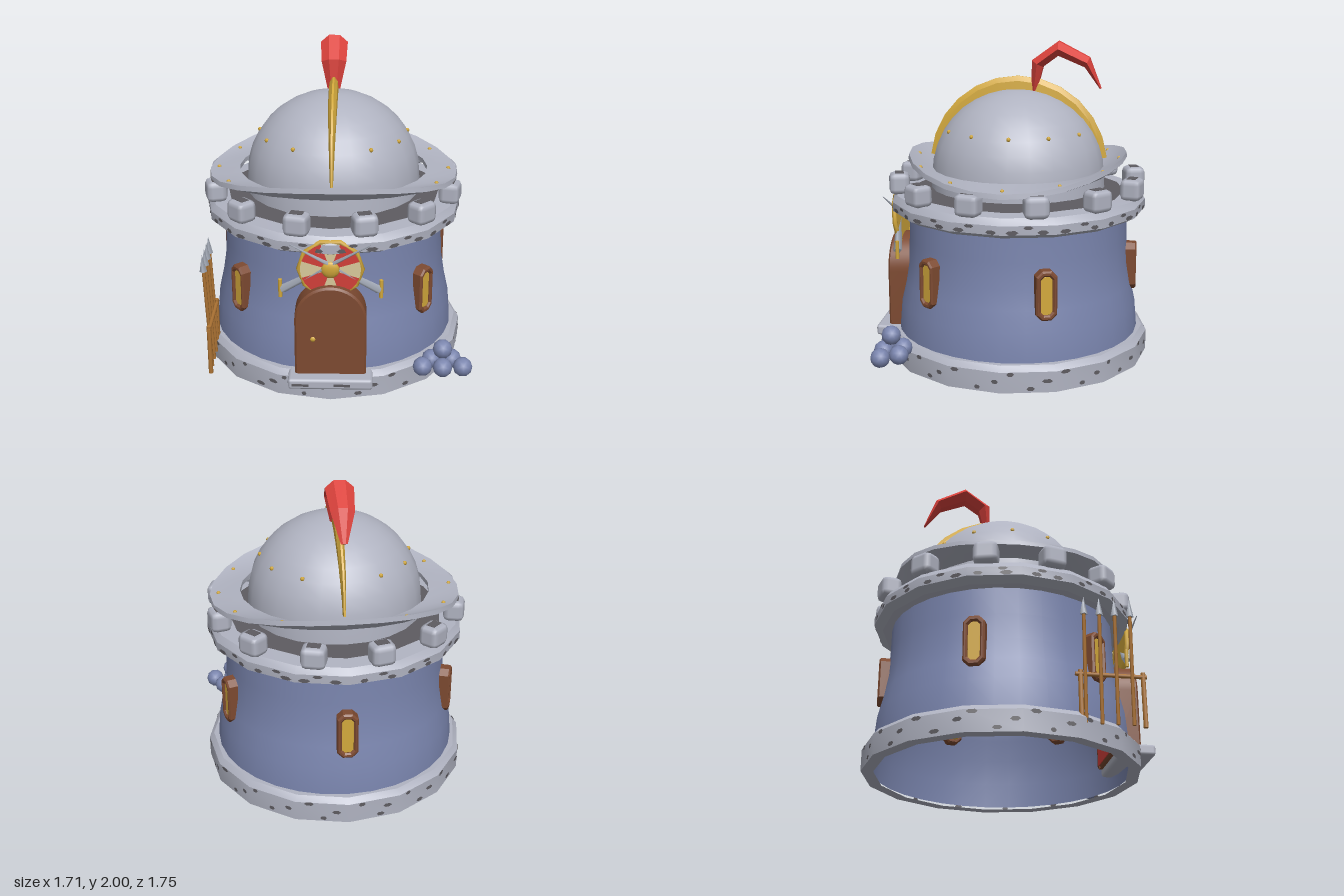
import * as THREE from 'three';
import { toCreasedNormals } from 'three/addons/utils/BufferGeometryUtils.js';
import { RoundedBoxGeometry } from 'three/addons/geometries/RoundedBoxGeometry.js';

const material = (name, color, side = THREE.FrontSide) => {
  const m = new THREE.MeshStandardMaterial({ color, side });
  m.name = name;
  return m;
};

// Skin through a list of equal-length point loops; either closed into a ring or capped
function loft(sections, closed, crease) {
  const n = sections.length, m = sections[0].length, idx = [];
  const pts = sections.flat();
  for (let i = 0; i < (closed ? n : n - 1); i++) for (let j = 0; j < m; j++) {
    const a = i * m + j, b = i * m + (j + 1) % m, k = ((i + 1) % n) * m;
    const c = k + (j + 1) % m, d = k + j;
    idx.push(a, b, c, a, c, d);
  }
  if (!closed) for (let j = 1; j < m - 1; j++) {
    const e = (n - 1) * m;
    idx.push(0, j + 1, j, e, e + j, e + j + 1);
  }
  // Turn the faces outward if the enclosed volume comes out negative
  const v = pts.map(p => new THREE.Vector3(...p));
  let volume = 0;
  for (let i = 0; i < idx.length; i += 3) volume += v[idx[i]].dot(v[idx[i + 1]].clone().cross(v[idx[i + 2]]));
  if (volume < 0) idx.reverse();
  const g = new THREE.BufferGeometry();
  g.setAttribute('position', new THREE.Float32BufferAttribute(pts.flat(), 3));
  g.setIndex(idx);
  return toCreasedNormals(g, crease);
}

export function createModel() {
  const stone = material('stone', 0xb0b3c1), gap = material('dark stone', 0x5e5c61, THREE.DoubleSide);
  const blue = material('blue wall', 0x7a85ae, THREE.DoubleSide), red = material('red', 0xdb423c);
  const gold = material('gold', 0xd3a93c), brown = material('brown frame', 0x7d4a31);
  const cream = material('cream', 0xe2d2a2), wood = material('spear wood', 0xae7434);
  const steel = material('steel', 0xa9b0bd);

  const root = new THREE.Group();
  root.name = 'guardTower';
  const tower = new THREE.Group();
  tower.name = 'tower';
  tower.position.set(-0.015, 0, -0.03);
  root.add(tower);

  const add = (parent, name, geo, mat, x = 0, y = 0, z = 0) => {
    const mesh = new THREE.Mesh(geo, mat);
    mesh.name = name;
    mesh.position.set(x, y, z);
    parent.add(mesh);
    return mesh;
  };
  const group = (parent, name, x = 0, y = 0, z = 0, ry = 0) => {
    const g = new THREE.Group();
    g.name = name;
    g.position.set(x, y, z);
    g.rotation.y = ry;
    parent.add(g);
    return g;
  };
  const lathe = (pts, seg, crease) =>
    toCreasedNormals(new THREE.LatheGeometry(pts.map(p => new THREE.Vector2(...p)), seg), crease);
  // Tapered rod between two points
  const rod = (parent, name, a, b, r1, r2, seg, mat) => {
    const p = new THREE.Vector3(...a), d = new THREE.Vector3(...b).sub(p);
    const mesh = add(parent, name, new THREE.CylinderGeometry(r2, r1, d.length(), seg), mat);
    mesh.position.copy(p).addScaledVector(d, 0.5);
    mesh.quaternion.setFromUnitVectors(new THREE.Vector3(0, 1, 0), d.normalize());
  };
  let seed = 7;
  const rnd = () => (seed = (seed * 16807) % 2147483647) / 2147483647;

  // Masonry and wall
  add(tower, 'base', lathe([[0.77, 0], [0.845, 0], [0.845, 0.13], [0.815, 0.163], [0.74, 0.165]], 16, 0.6), stone);
  add(tower, 'wall', lathe([[0.785, 0.02], [0.78, 0.17], [0.765, 0.34], [0.735, 0.47], [0.713, 0.6], [0.703, 0.76], [0.7, 0.94]], 32, 0.6), blue);
  add(tower, 'parapet', lathe([[0.69, 0.925], [0.76, 0.925], [0.815, 0.955], [0.815, 1.01], [0.785, 1.05], [0.68, 1.056]], 16, 0.5), stone);
  add(tower, 'roofFloor', new THREE.CircleGeometry(0.7, 32).rotateX(-Math.PI / 2), gap, 0, 1.05, 0);

  // Dark worn patches on the flat faces of base and parapet
  const patch = (face, x, y, r, w, h) => {
    const p = add(face, 'wornPatch', new THREE.CircleGeometry(1, 6), gap, x, y, r);
    p.scale.set(w, h, 1);
  };
  for (let i = 0; i < 16; i++) {
    const face = group(tower, 'stoneFace', 0, 0, 0, (i + 0.5) * Math.PI / 8);
    [-0.1, 0.02, 0.11].forEach((x, k) => {
      patch(face, x + (rnd() - 0.5) * 0.05, [0.115, 0.022, 0.07][k] + rnd() * 0.008, 0.832, 0.015 + rnd() * 0.02, 0.014);
    });
    for (const x of [-0.09, 0.08]) patch(face, x + (rnd() - 0.5) * 0.05, 0.97, 0.803, 0.025 + rnd() * 0.015, 0.014);
    patch(face, (rnd() - 0.5) * 0.1, 0.998, 0.803, 0.03, 0.011);
  }

  // Battlements
  for (let i = 0; i < 12; i++) {
    const g = group(tower, 'merlon', 0, 0, 0, (i + 0.5) * Math.PI / 6);
    add(g, 'merlonBlock', new RoundedBoxGeometry(0.15, 0.135, 0.13, 1, 0.035), stone, 0, 1.112, 0.76);
    add(g, 'merlonTopPatch', new THREE.BoxGeometry(0.08, 0.004, 0.055), gap, 0, 1.18, 0.76);
  }

  // Helmet roof: dome with collar, saddle-shaped brim
  const dome = [[0.555, 1.08], [0.55, 1.17]];
  for (let i = 1; i <= 9; i++) dome.push([0.55 * Math.cos(i * Math.PI / 18), 1.17 + 0.53 * Math.sin(i * Math.PI / 18)]);
  dome[dome.length - 1][0] = 0;
  add(tower, 'helmetDome', lathe(dome, 24, 0.7), stone);
  const brim = [];
  for (let i = 0; i < 24; i++) {
    const t = i * Math.PI / 12, s = Math.sin(t), c = Math.cos(t), k = c * c;
    const at = (rx, rz, y) => [rx * s, y, rz * c];
    const yo = 1.19 + 0.12 * k, ym = 1.19 + 0.055 * k;
    brim.push([at(0.6, 0.545, 1.21), at(0.71, 0.62, ym + 0.008), at(0.79, 0.69, yo),
      at(0.795, 0.695, yo - 0.03), at(0.71, 0.625, ym - 0.03), at(0.6, 0.545, 1.18)]);
  }
  add(tower, 'helmetBrim', loft(brim, true, 0.6), stone);

  // Gold studs on dome and brim
  for (let i = 0; i < 12; i++) {
    const t = i * Math.PI / 6, s = Math.sin(t), c = Math.cos(t);
    const stud = new THREE.SphereGeometry(0.014, 6, 4);
    if (i % 6) add(tower, 'domeStud', stud, gold, 0.466 * s, 1.45, 0.466 * c);
    add(tower, 'brimStud', stud, gold, 0.735 * s, 1.195 + 0.072 * c * c, 0.645 * c);
  }

  // Crest: wedge-shaped fin over the dome
  const crest = [];
  for (let i = 0; i <= 12; i++) {
    const t = (10 + i * 160 / 12) * Math.PI / 180, f = Math.sin(i * Math.PI / 12);
    const w = 0.012 + 0.02 * f, o = 0.575 + 0.035 * f;
    const at = (x, r) => [x, 1.17 + r * Math.sin(t), r * Math.cos(t)];
    crest.push([at(-w, 0.51), at(-w * 0.8, o - 0.03), at(-0.006, o), at(0.006, o), at(w * 0.8, o - 0.03), at(w, 0.51)]);
  }
  add(tower, 'crest', loft(crest, false, 0.3), gold);

  // Plume: [outer z, outer y, inner z, inner y, half width]
  const plume = [[-0.115, 1.69, -0.15, 1.685, 0.04], [-0.12, 1.88, -0.19, 1.84, 0.078], [-0.285, 2.0, -0.285, 1.91, 0.086],
    [-0.48, 1.9, -0.45, 1.84, 0.07], [-0.555, 1.71, -0.545, 1.705, 0.02]].map(([oz, oy, iz, iy, w]) => {
    const mz = (oz + iz) / 2, my = (oy + iy) / 2;
    return [[-w * 0.4, oy, oz], [w * 0.4, oy, oz], [w, my, mz], [w * 0.4, iy, iz], [-w * 0.4, iy, iz], [-w, my, mz]];
  });
  add(root, 'plume', loft(plume, false, 0.2), red, -0.015, 0, 0);

  // Door
  const arch = (Type, w, y0) => {
    const s = new Type();
    s.moveTo(-w, y0);
    s.lineTo(w, y0);
    s.lineTo(w, 0.525);
    s.absarc(0, 0.525, w, 0, Math.PI, false);
    s.lineTo(-w, y0);
    return s;
  };
  const extrude = (shape, depth, bevel = 0) => toCreasedNormals(new THREE.ExtrudeGeometry(shape, {
    depth, curveSegments: 12, bevelEnabled: bevel > 0, bevelSize: bevel, bevelThickness: bevel, bevelSegments: 1, bevelOffset: -bevel }), 0.5);
  const door = group(tower, 'door');
  add(door, 'doorPanel', extrude(arch(THREE.Shape, 0.175, 0.15), 0.15), red, 0, 0, 0.645);
  const frame = arch(THREE.Shape, 0.215, 0.14);
  frame.holes.push(arch(THREE.Path, 0.16, 0.141));
  add(door, 'doorFrame', extrude(frame, 0.15, 0.012), brown, 0, 0, 0.66);
  for (const y of [0.3, 0.482]) rod(door, 'hinge', [-0.05, y, 0.798], [0.155, y, 0.798], 0.012, 0.012, 8, gold);
  add(door, 'doorKnob', new THREE.SphereGeometry(0.022, 10, 8), gold, -0.105, 0.4, 0.808);
  add(door, 'doorStep', new RoundedBoxGeometry(0.51, 0.068, 0.22, 1, 0.018), stone, 0, 0.132, 0.79);
  for (const x of [-0.18, 0.07]) add(door, 'stepPatch', new THREE.BoxGeometry(0.1, 0.016, 0.004), gap, x, 0.13, 0.9);

  // Shield with crossed swords
  const shield = group(tower, 'shield', 0, 0.845, 0.775);
  shield.rotation.x = 0.1;
  add(shield, 'shieldBody', new THREE.CylinderGeometry(0.185, 0.185, 0.02, 10).rotateX(Math.PI / 2), gold);
  for (let i = 0; i < 4; i++) {
    const a = i * Math.PI / 2;
    add(shield, 'shieldArm', new THREE.CircleGeometry(0.178, 4, a - 0.32, 0.64), cream, 0, 0, 0.014);
    add(shield, 'shieldQuarter', new THREE.CircleGeometry(0.178, 4, a + 0.32, Math.PI / 2 - 0.64), red, 0, 0, 0.014);
  }
  add(shield, 'shieldRim', new THREE.TorusGeometry(0.186, 0.016, 6, 10), gold);
  add(shield, 'shieldBoss', new THREE.SphereGeometry(0.055, 12, 8).scale(1, 1, 0.4), gold, 0, 0, 0.014);
  for (const s of [-1, 1]) {
    rod(tower, 'swordBlade', [s * 0.29, 0.69, 0.735], [s * -0.235, 1.025, 0.835], 0.028, 0.003, 4, steel);
    rod(tower, 'swordGuard', [s * 0.3, 0.64, 0.735], [s * 0.3, 0.755, 0.735], 0.012, 0.012, 8, gold);
  }

  // Windows: tall octagonal frames with gold panes
  const octagon = (Type, w, h, c) => new Type([[w, h - c], [w - c, h], [c - w, h], [-w, h - c], [-w, c - h], [c - w, -h], [w - c, -h], [w, c - h]]
    .map(p => new THREE.Vector2(...p)));
  for (const deg of [50, 110, 180, -110, -50]) {
    const w = group(tower, 'window', 0, 0.57, 0, deg * Math.PI / 180);
    const f = octagon(THREE.Shape, 0.064, 0.152, 0.035);
    f.holes.push(octagon(THREE.Path, 0.036, 0.118, 0.02));
    add(w, 'windowFrame', extrude(f, 0.06, 0.01), brown, 0, 0, 0.7);
    add(w, 'windowPane', extrude(octagon(THREE.Shape, 0.042, 0.124, 0.02), 0.06, 0.008), gold, 0, 0, 0.688);
  }

  // Spear rack
  const rack = group(root, 'spearRack');
  rod(rack, 'rackRail', [-0.758, 0.39, 0.28], [-0.758, 0.39, 0.69], 0.013, 0.013, 8, wood);
  for (const z of [0.31, 0.67]) rod(rack, 'rackPost', [-0.758, 0.09, z], [-0.758, 0.415, z], 0.014, 0.014, 8, wood);
  for (const z of [0.335, 0.425, 0.515, 0.605]) {
    rod(rack, 'spearShaft', [-0.757, 0.1, z], [-0.784, 0.76, z], 0.011, 0.011, 6, wood);
    rod(rack, 'spearHead', [-0.784, 0.75, z], [-0.789, 0.86, z], 0.023, 0, 4, steel);
  }

  // Pile of cannonballs
  for (const [x, y, z] of [[0.545, 0.17, 0.7], [0.667, 0.17, 0.71], [0.79, 0.17, 0.7], [0.605, 0.17, 0.605], [0.73, 0.17, 0.6], [0.667, 0.27, 0.66]])
    add(root, 'cannonball', new THREE.IcosahedronGeometry(0.06, 1), blue, x, y, z);

  return root;
}
